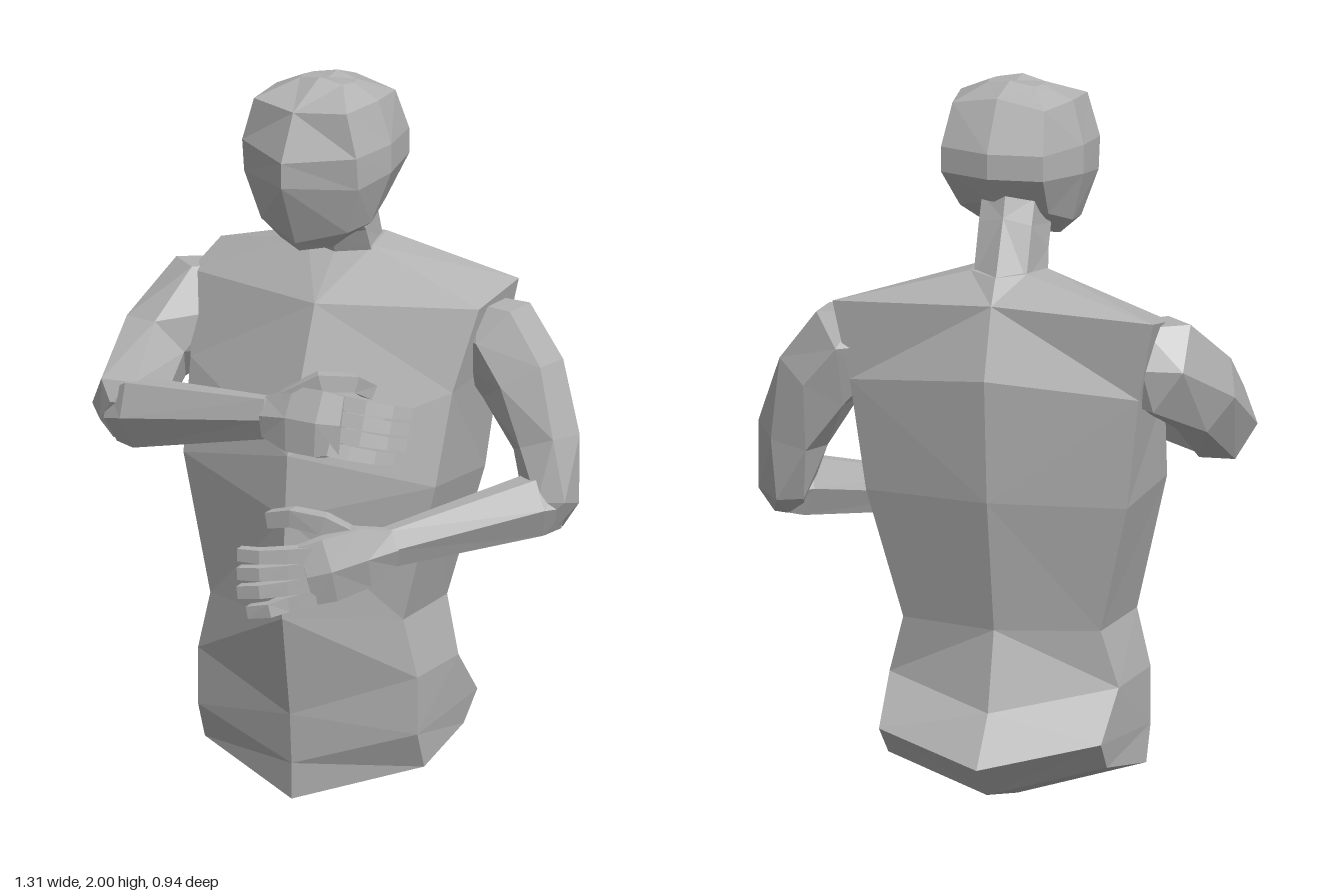
import * as THREE from 'three';

const grey = new THREE.MeshStandardMaterial({ color: 0xb2b2b2 });
const V = (x, y, z) => new THREE.Vector3(x, y, z);

// Faceted skin through equal-sized rings, closed at both ends.
function loft(name, rings) {
  const pos = [];
  const tri = (...pts) => pts.forEach((p) => pos.push(p.x, p.y, p.z));
  const n = rings[0].length;
  const centre = (r) => r.reduce((s, p) => s.add(p), V(0, 0, 0)).divideScalar(n);
  const last = rings[rings.length - 1];
  const c0 = centre(rings[0]);
  const c1 = centre(last);
  for (let j = 0; j < n; j++) {
    const k = (j + 1) % n;
    for (let i = 0; i < rings.length - 1; i++) {
      const [a, b, c, d] = [rings[i][j], rings[i][k], rings[i + 1][k], rings[i + 1][j]];
      // Split along the shorter diagonal so both halves match
      if (a.distanceTo(c) < b.distanceTo(d)) {
        tri(a, b, c);
        tri(a, c, d);
      } else {
        tri(a, b, d);
        tri(b, c, d);
      }
    }
    tri(c0, rings[0][k], rings[0][j]);
    tri(c1, last[j], last[k]);
  }
  const geo = new THREE.BufferGeometry();
  geo.setAttribute('position', new THREE.Float32BufferAttribute(pos, 3));
  geo.computeVertexNormals();
  const mesh = new THREE.Mesh(geo, grey);
  mesh.name = name;
  return mesh;
}

// Mirrored section: front [y,z], side points [x,y,z] from front to back, back [y,z].
const section = (cx) => (row) => {
  const [f, b] = [row[0], row[row.length - 1]];
  const side = row.slice(1, -1);
  return [
    V(cx, ...f), ...side.map((p) => V(cx + p[0], p[1], p[2])),
    V(cx, ...b), ...side.map((p) => V(cx - p[0], p[1], p[2])).reverse(),
  ];
};

// Limb along stations [x, y, z, half height, half thickness]; tilt leans its height axis along z.
function limb(name, stations, sides = 6, tilt = 0) {
  const pts = stations.map((s) => V(s[0], s[1], s[2]));
  const k = 1 / Math.cos(Math.PI / sides);
  const rings = stations.map((s, i) => {
    const t = pts[Math.min(i + 1, pts.length - 1)].clone().sub(pts[Math.max(i - 1, 0)]).normalize();
    const up = V(0, 1, tilt);
    const u = up.addScaledVector(t, -t.dot(up)).normalize();
    const v = t.clone().cross(u);
    return Array.from({ length: sides }, (_, j) => {
      const a = ((j + 0.5) / sides) * Math.PI * 2;
      return pts[i].clone()
        .addScaledVector(u, Math.cos(a) * s[3] * k)
        .addScaledVector(v, Math.sin(a) * (s[4] ?? s[3]) * (sides === 4 ? k : 1));
    });
  });
  return loft(name, rings);
}

// Finger along its joints, tapering to the tip.
const finger = (name, joints, r, tilt = 0) =>
  limb(name, joints.map((p, i) => [...p, r * (1 - 0.07 * i)]), 4, tilt);

export function createModel() {
  const model = new THREE.Group();
  model.name = 'upperBody';

  // Torso from hips to shoulders
  model.add(loft('torso', [
    [[0.025, -0.1], [0.02, 0.025, -0.13], [0.02, 0.03, -0.16], [0.04, -0.2]],
    [[0, 0.135], [0.335, 0.1, 0], [0.31, 0.15, -0.28], [0.075, -0.38]],
    [[0.1, 0.135], [0.335, 0.2, 0.04], [0.315, 0.23, -0.35], [0.165, -0.475]],
    [[0.24, 0.145], [0.335, 0.36, 0.04], [0.325, 0.36, -0.22], [0.3, -0.37]],
    [[0.52, 0.19], [0.295, 0.52, 0.045], [0.28, 0.52, -0.24], [0.52, -0.315]],
    [[0.8, 0.175], [0.385, 0.9, 0.03], [0.37, 0.88, -0.29], [0.89, -0.38]],
    [[0.97, 0.16], [0.4, 1.15, -0.04], [0.41, 1.19, -0.31], [1.235, -0.405]],
    [[1.36, 0], [0.44, 1.37, -0.12], [0.455, 1.41, -0.325], [1.43, -0.34]],
    [[1.48, -0.12], [0.1, 1.5, -0.15], [0.08, 1.51, -0.27], [1.5, -0.3]],
  ].map(section(-0.045))));

  // Neck leaning forward into the head
  model.add(loft('neck', [
    [[1.47, -0.12], [0.1, 1.49, -0.14], [0.075, 1.49, -0.26], [1.49, -0.3]],
    [[1.53, -0.1], [0.095, 1.55, -0.12], [0.075, 1.63, -0.21], [1.65, -0.23]],
    [[1.58, -0.06], [0.09, 1.61, -0.08], [0.075, 1.7, -0.18], [1.71, -0.21]],
  ].map(section(-0.045))));

  // Head with a ridge down the middle of the face, turned slightly to its right
  const head = loft('head', [
    [[1.535, 0.1], [0.085, 1.55, 0.06], [0.09, 1.565, 0], [0.08, 1.59, -0.06], [1.61, -0.1]],
    [[1.56, 0.12], [0.14, 1.6, 0.075], [0.155, 1.61, -0.02], [0.13, 1.65, -0.13], [1.69, -0.205]],
    [[1.73, 0.19], [0.185, 1.73, 0.09], [0.2, 1.75, -0.05], [0.15, 1.76, -0.215], [1.76, -0.25]],
    [[1.8, 0.19], [0.185, 1.82, 0.1], [0.2, 1.83, -0.05], [0.15, 1.83, -0.215], [1.83, -0.25]],
    [[1.93, 0.13], [0.15, 1.94, 0.095], [0.165, 1.95, -0.04], [0.135, 1.945, -0.17], [1.97, -0.18]],
    [[2.0, 0], [0.07, 1.987, -0.01], [0.08, 1.987, -0.045], [0.07, 1.987, -0.08], [2.0, -0.09]],
  ].map(section(0)));
  head.position.x = -0.03;
  head.rotation.y = -0.1;
  model.add(head);

  // Right arm, raised across the chest
  const rightArm = new THREE.Group();
  rightArm.name = 'rightArm';
  rightArm.add(
    limb('rightUpperArm', [[-0.42, 1.27, -0.22, 0.11, 0.09], [-0.48, 1.265, -0.19, 0.13, 0.115],
      [-0.56, 1.16, -0.06, 0.11, 0.1], [-0.555, 1.035, 0.125, 0.105, 0.1], [-0.54, 1.01, 0.17, 0.065]]),
    limb('rightForearm', [[-0.56, 1.02, 0.14, 0.07], [-0.5, 1.035, 0.16, 0.09, 0.08],
      [-0.05, 1.1, 0.245, 0.055, 0.04]]),
    limb('rightPalm', [[-0.06, 1.1, 0.245, 0.055, 0.04], [0.03, 1.11, 0.262, 0.09, 0.045],
      [0.12, 1.11, 0.275, 0.09, 0.038], [0.18, 1.11, 0.265, 0.08, 0.03]], 6, -0.3),
    finger('rightThumb', [[0.0, 1.16, 0.25], [0.09, 1.215, 0.225], [0.16, 1.205, 0.165], [0.18, 1.17, 0.11]], 0.026),
  );

  // Left arm, folded across the belly
  const leftArm = new THREE.Group();
  leftArm.name = 'leftArm';
  leftArm.add(
    limb('leftUpperArm', [[0.345, 1.28, -0.22, 0.09, 0.09], [0.395, 1.275, -0.22, 0.115, 0.11],
      [0.48, 1.165, -0.215, 0.11, 0.11], [0.56, 1.0, -0.2, 0.088, 0.095],
      [0.59, 0.84, -0.17, 0.075], [0.585, 0.79, -0.15, 0.045]]),
    limb('leftForearm', [[0.6, 0.84, -0.18, 0.065], [0.56, 0.84, -0.13, 0.08, 0.07],
      [0.28, 0.765, 0.195, 0.052, 0.04]]),
    limb('leftPalm', [[0.29, 0.765, 0.185, 0.052, 0.04], [0.235, 0.75, 0.26, 0.085, 0.045],
      [0.17, 0.725, 0.335, 0.09, 0.04], [0.12, 0.71, 0.37, 0.085, 0.03]]),
    finger('leftThumb', [[0.22, 0.79, 0.26], [0.14, 0.84, 0.3], [0.05, 0.85, 0.31], [-0.02, 0.835, 0.31]], 0.028),
  );

  // Four curled fingers on each hand
  for (let i = 0; i < 4; i++) {
    const short = i === 3 ? 0.03 : 0;
    const y = 1.17 - i * 0.04;
    const z = 0.016 * i - 0.028;
    rightArm.add(finger('rightFinger' + (i + 1), [[0.15, y, 0.272 + z], [0.23 - short, y - 0.012, 0.252 + z],
      [0.29 - short, y - 0.024, 0.22 + z], [0.32 - short, y - 0.036, 0.175 + z]], 0.021, -0.3));
    const ly = 0.77 - i * 0.04;
    leftArm.add(finger('leftFinger' + (i + 1), [[0.14, ly, 0.355], [0.08, ly - i * 0.005, 0.405],
      [0.02 + short, ly - i * 0.009, 0.445], [-0.04 + short, ly - i * 0.013, 0.45]], 0.022));
  }

  model.add(rightArm, leftArm);
  return model;
}
